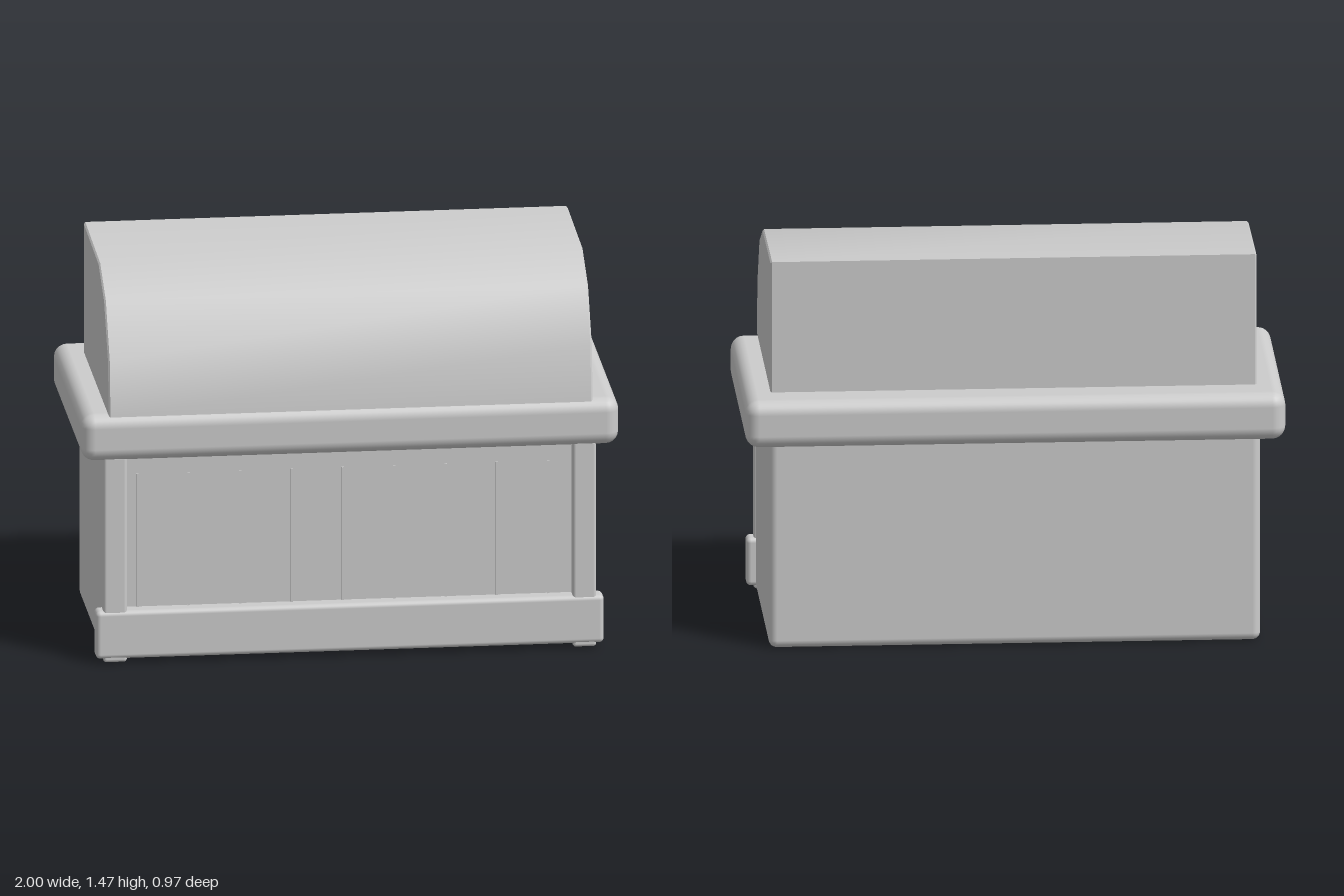
import * as THREE from 'three';
import { toCreasedNormals } from 'three/addons/utils/BufferGeometryUtils.js';
import { RoundedBoxGeometry } from 'three/addons/geometries/RoundedBoxGeometry.js';

export function createModel() {
  const group = new THREE.Group();
  const grey = new THREE.MeshStandardMaterial({ color: 0xcccccc });
  grey.name = 'light grey';

  const add = (name, geometry) => {
    const mesh = new THREE.Mesh(geometry, grey);
    mesh.name = name;
    group.add(mesh);
    return mesh;
  };

  // Soft-edged box given by its minimum and maximum corners
  const roundedBox = (name, [x0, y0, z0], [x1, y1, z1], radius, segments = 3) =>
    add(name, new RoundedBoxGeometry(x1 - x0, y1 - y0, z1 - z0, segments, radius))
      .position.set((x0 + x1) / 2, (y0 + y1) / 2, (z0 + z1) / 2);

  // Cabinet and overhanging worktop
  roundedBox('cabinet', [-0.91, 0, -0.41], [0.91, 0.81, 0.405], 0.03);
  roundedBox('worktop', [-1, 0.785, -0.487], [1, 0.965, 0.487], 0.05);

  // Front trim: corner posts and a kick board
  for (const side of [-1, 1]) {
    const x = side * 0.873;
    roundedBox(side > 0 ? 'leftPost' : 'rightPost',
      [x - 0.044, 0.004, 0.395], [x + 0.044, 0.8, 0.459], 0.012);
  }
  roundedBox('kickBoard', [-0.945, 0.018, 0.385], [0.945, 0.202, 0.464], 0.018);

  // Thin upright battens dividing the front panel
  for (let i = 0; i < 9; i++) {
    const batten = add('frontBatten', new THREE.BoxGeometry(0.009, 0.525, 0.012));
    batten.position.set(-0.785 + i * 0.191, 0.453, 0.406);
  }

  // Display hood: curved front profile (z, y) extruded across the width
  const bevel = 0.006;
  const profile = [
    [0.485, 0.96], [0.46, 1.17], [0.333, 1.365],
    [0.15, 1.455], [-0.34, 1.465], [-0.34, 0.955],
  ].map(([z, y]) => new THREE.Vector2(z, y));
  const hood = new THREE.ExtrudeGeometry(new THREE.Shape(profile), {
    depth: 1.8 - 2 * bevel,
    bevelEnabled: true,
    bevelSize: bevel,
    bevelThickness: bevel,
    bevelOffset: -bevel,
    bevelSegments: 1,
  });
  hood.translate(0, 0, -0.9 + bevel);
  hood.rotateY(-Math.PI / 2);
  add('displayHood', toCreasedNormals(hood, 0.6));

  return group;
}
